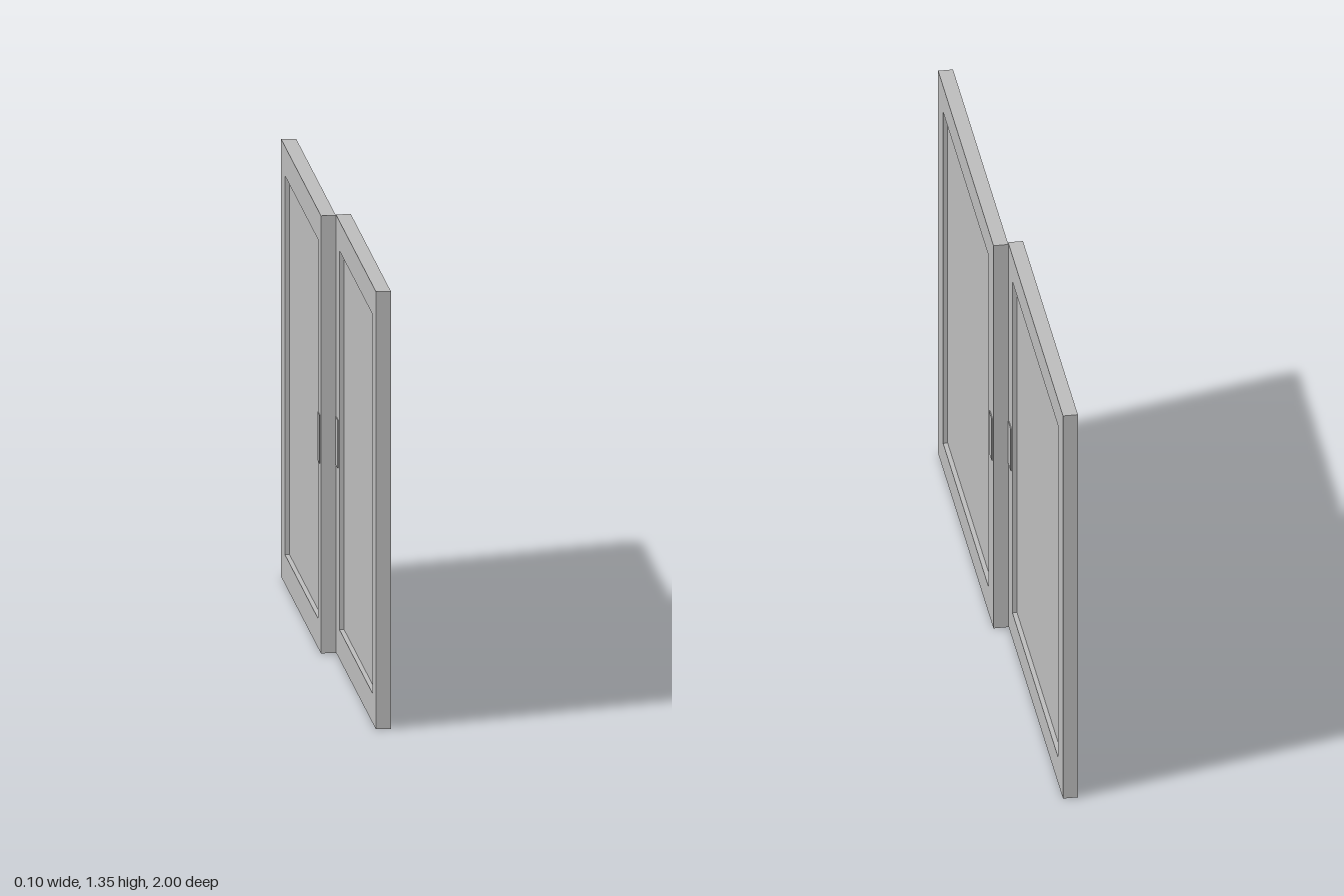
import * as THREE from 'three';

const HEIGHT = 1.345, THICK = 0.045, RECESS = 0.014;
const grey = new THREE.MeshStandardMaterial({ color: 0xbcbcbc });
grey.name = 'grey';

function addBox(group, name, size, position) {
  const mesh = new THREE.Mesh(new THREE.BoxGeometry(...size), grey);
  mesh.name = name;
  mesh.position.set(...position);
  group.add(mesh);
}

// One sliding panel; z0..z1 is the whole width, p0..p1 the recessed field
function makePanel(name, x, z0, z1, p0, p1, handleZ) {
  const panel = new THREE.Group();
  panel.name = name;
  const y0 = 0.09, y1 = 1.255;

  // Surrounding frame, drawn in (-z, y) and extruded along x
  const outline = new THREE.Shape([[-z1, 0], [-z0, 0], [-z0, HEIGHT], [-z1, HEIGHT]]
    .map(p => new THREE.Vector2(...p)));
  outline.holes.push(new THREE.Path([[-p1, y0], [-p1, y1], [-p0, y1], [-p0, y0]]
    .map(p => new THREE.Vector2(...p))));
  const geometry = new THREE.ExtrudeGeometry(outline, { depth: THICK, bevelEnabled: false });
  geometry.translate(0, 0, -THICK / 2);
  geometry.rotateY(Math.PI / 2);
  const frame = new THREE.Mesh(geometry, grey);
  frame.name = 'frame';
  frame.position.x = x;
  panel.add(frame);

  // Recessed centre field
  addBox(panel, 'pane', [THICK - 2 * RECESS, y1 - y0, p1 - p0],
    [x, (y0 + y1) / 2, (p0 + p1) / 2]);

  // Flat pull plates on both faces
  for (const side of [-1, 1]) {
    addBox(panel, 'handlePlate', [0.006, 0.148, 0.047],
      [x + side * THICK / 2, 0.654, handleZ]);
  }
  return panel;
}

export function createModel() {
  const model = new THREE.Group();
  model.name = 'slidingPanels';
  model.add(makePanel('frontPanel', 0.0232, -0.01, 1, 0.08, 0.91, 0.03));
  model.add(makePanel('backPanel', -0.0232, -1, 0.002, -0.906, -0.076, -0.039));
  return model;
}
